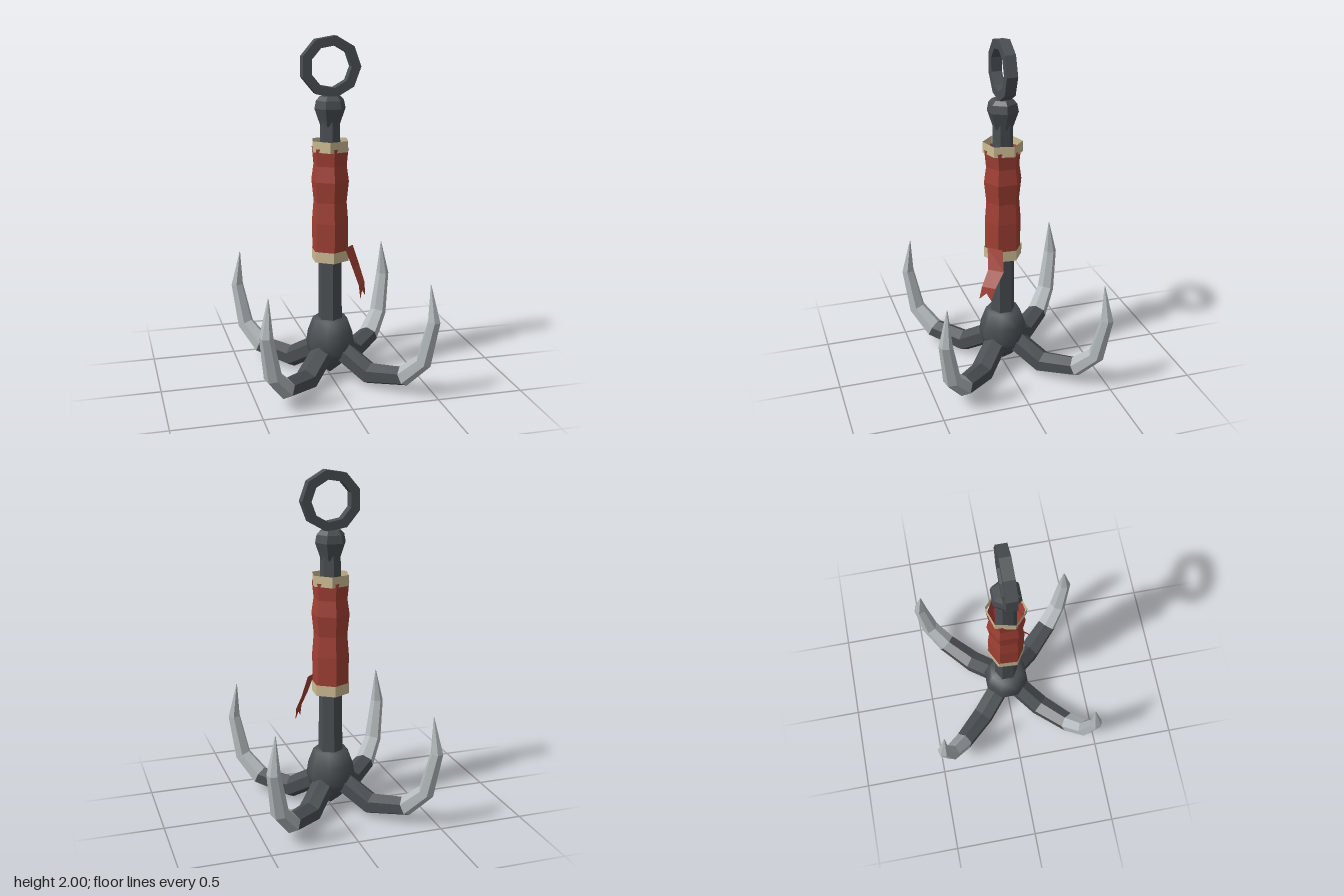
import * as THREE from 'three';

const iron = new THREE.MeshStandardMaterial({ color: 0x4a4f53 });
iron.name = 'iron';
const steel = new THREE.MeshStandardMaterial({ color: 0xb4babd });
steel.name = 'steel';
const redCloth = new THREE.MeshStandardMaterial({ color: 0xa04034, side: THREE.DoubleSide });
redCloth.name = 'redCloth';
const tanCord = new THREE.MeshStandardMaterial({ color: 0xcdbb93, side: THREE.DoubleSide });
tanCord.name = 'tanCord';

function part(name, geometry, material) {
  const mesh = new THREE.Mesh(geometry, material);
  mesh.name = name;
  return mesh;
}

// Give every face its own normal
function faceted(geometry) {
  const g = geometry.index ? geometry.toNonIndexed() : geometry;
  g.computeVertexNormals();
  return g;
}

// Turned shape from [radius, height] pairs; first corner points at +z
function turned(profile, sides, turn = 0) {
  const points = profile.map(([r, y]) => new THREE.Vector2(r, y));
  return new THREE.LatheGeometry(points, sides, turn);
}

function fromQuads(quads) {
  const positions = [];
  for (const [a, b, c, d] of quads) positions.push(...a, ...b, ...c, ...a, ...c, ...d);
  const g = new THREE.BufferGeometry();
  g.setAttribute('position', new THREE.Float32BufferAttribute(positions, 3));
  g.computeVertexNormals();
  return g;
}

// Arm centre line: [distance from axis, height, section radius]
const ARM = [
  [0.08, 0.175, 0.064],
  [0.265, 0.068, 0.066],
  [0.485, 0.098, 0.058],
  [0.61, 0.215, 0.049],
  [0.668, 0.46, 0.037],
  [0.643, 0.67, 0.002],
];

// Six-cornered section standing square to the centre line at point i
function armSection(i) {
  const [r, y, size] = ARM[i];
  const dir = new THREE.Vector2();
  for (const k of [i - 1, i]) {
    if (k < 0 || k + 1 >= ARM.length) continue;
    dir.add(new THREE.Vector2(ARM[k + 1][0] - ARM[k][0], ARM[k + 1][1] - ARM[k][1]).normalize());
  }
  dir.normalize();
  return Array.from({ length: 6 }, (_, j) => {
    const a = (j * Math.PI) / 3;
    const up = Math.cos(a) * size;
    return [r - dir.y * up, y + dir.x * up, Math.sin(a) * size * 1.06];
  });
}

function armPiece(from, to) {
  const quads = [];
  for (let i = from; i < to; i++) {
    const a = armSection(i);
    const b = armSection(i + 1);
    for (let j = 0; j < 6; j++) {
      const k = (j + 1) % 6;
      quads.push([a[j], a[k], b[k], b[j]]);
    }
  }
  // End caps, two quads each
  const s = armSection(from);
  const e = armSection(to);
  quads.push([s[3], s[2], s[1], s[0]], [s[0], s[5], s[4], s[3]]);
  quads.push([e[0], e[1], e[2], e[3]], [e[3], e[4], e[5], e[0]]);
  return fromQuads(quads);
}

function polygon(PathType, radius, sides, phase) {
  const points = Array.from({ length: sides }, (_, i) => {
    const a = phase + (i / sides) * Math.PI * 2;
    return new THREE.Vector2(Math.cos(a) * radius, Math.sin(a) * radius);
  });
  return new PathType(points);
}

export function createModel() {
  const model = new THREE.Group();
  model.name = 'grapplingHook';

  // Rope ring
  const phase = THREE.MathUtils.degToRad(79.5);
  const outline = polygon(THREE.Shape, 0.172, 9, phase);
  outline.holes.push(polygon(THREE.Path, 0.118, 9, phase));
  const ringGeometry = new THREE.ExtrudeGeometry(outline, { depth: 0.062, bevelEnabled: false });
  ringGeometry.translate(0, 1.831, -0.031);
  model.add(part('ropeRing', ringGeometry, iron));

  // Shaft and the knob under the ring
  model.add(part('shaft', faceted(turned([[0.073, 0.3], [0.058, 1.56]], 6)), iron));
  const knob = [[0, 1.5], [0.055, 1.5], [0.09, 1.6], [0.081, 1.645], [0.06, 1.668], [0, 1.668]];
  model.add(part('knob', faceted(turned(knob, 6, Math.PI / 6)), iron));

  // Ball joining the arms
  const ball = [[0, 0.02], [0.085, 0.09], [0.128, 0.15], [0.143, 0.21], [0.133, 0.28], [0.102, 0.365], [0, 0.37]];
  model.add(part('hubBall', turned(ball, 8, Math.PI / 8), iron));

  // Cloth grip, an open sleeve with a wavy outline
  const grip = [[0.106, 0.75], [0.107, 0.86], [0.108, 0.95], [0.098, 1.07], [0.111, 1.19], [0.098, 1.28], [0.108, 1.38]];
  model.add(part('clothGrip', faceted(turned(grip, 6)), redCloth));

  // Cord bands at both ends of the grip
  const bands = [
    ['upperBand', 1.36, 1.422, 0.113, -0.22],
    ['lowerBand', 0.722, 0.785, 0.112, -0.06],
  ];
  for (const [name, low, high, radius, turn] of bands) {
    model.add(part(name, faceted(turned([[radius, low], [radius, high]], 6, turn)), tanCord));
  }

  // Loose cloth tail with a notched end
  const left = [[0.06, 0.81, 0.11], [0.103, 0.69, 0.12], [0.127, 0.6, 0.165], [0.131, 0.525, 0.183]];
  const right = [[0.125, 0.81, 0.04], [0.163, 0.69, 0.045], [0.18, 0.6, 0.1], [0.177, 0.525, 0.125]];
  const notch = [0.152, 0.565, 0.146];
  const mid = [0.153, 0.6, 0.133];
  model.add(part('clothTail', fromQuads([
    [left[0], left[1], right[1], right[0]],
    [left[1], left[2], right[2], right[1]],
    [left[2], left[3], notch, mid],
    [mid, notch, right[3], right[2]],
  ]), redCloth));

  // Four hooked arms with steel claws
  const armGeometry = armPiece(0, 2);
  const clawGeometry = armPiece(2, 5);
  for (let i = 0; i < 4; i++) {
    const hook = new THREE.Group();
    hook.name = `hook${i + 1}`;
    hook.add(part('arm', armGeometry, iron), part('claw', clawGeometry, steel));
    hook.rotation.y = Math.PI / 4 + (i * Math.PI) / 2;
    model.add(hook);
  }

  return model;
}
